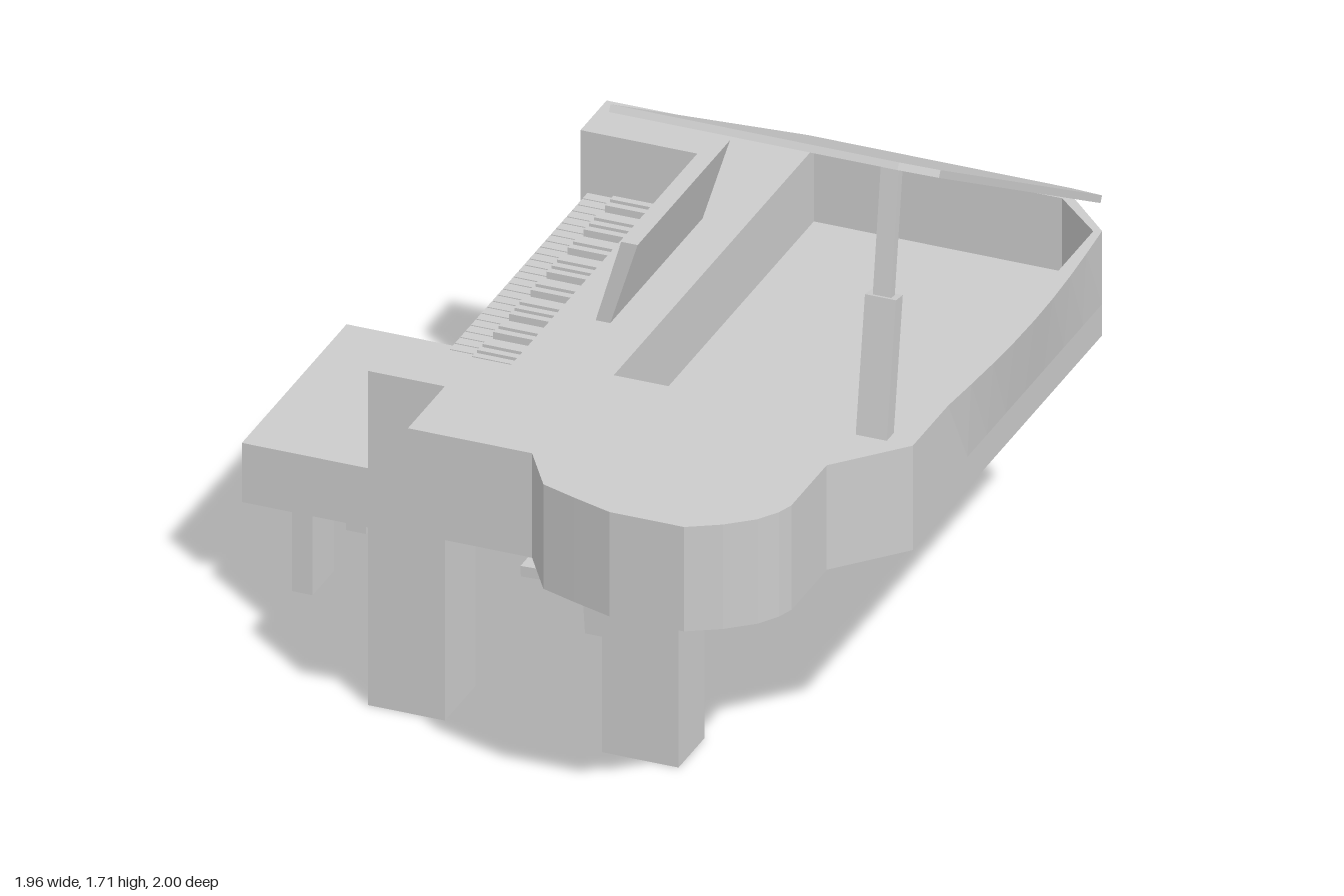
import * as THREE from 'three';

const material = new THREE.MeshStandardMaterial({ color: 0xcccccc, flatShading: true });

function add(parent, name, geometry) {
  const mesh = new THREE.Mesh(geometry, material);
  mesh.name = name;
  parent.add(mesh);
  return mesh;
}

// box given by its lower and upper corners
function box(parent, name, x0, x1, y0, y1, z0, z1) {
  const mesh = add(parent, name, new THREE.BoxGeometry(x1 - x0, y1 - y0, z1 - z0));
  mesh.position.set((x0 + x1) / 2, (y0 + y1) / 2, (z0 + z1) / 2);
  return mesh;
}

const toShape = (pts) => new THREE.Shape(pts.map(([a, b]) => new THREE.Vector2(a, b)));

// plan outline in [x, z], raised from y0 to y1
function slab(outline, y0, y1, hole) {
  const flip = (pts) => pts.map(([x, z]) => [x, -z]);
  const shape = toShape(flip(outline));
  if (hole) shape.holes.push(toShape(flip(hole)));
  return new THREE.ExtrudeGeometry(shape, { depth: y1 - y0, bevelEnabled: false })
    .rotateX(-Math.PI / 2).translate(0, y0, 0);
}

// side profile in [x, y], running from z0 to z1
function profile(parent, name, pts, z0, z1) {
  const geometry = new THREE.ExtrudeGeometry(toShape(pts), { depth: z1 - z0, bevelEnabled: false });
  return add(parent, name, geometry.translate(0, 0, z0));
}

// square bar between two points
function bar(parent, name, a, b, width, depth) {
  const from = new THREE.Vector3(...a), to = new THREE.Vector3(...b);
  const mesh = add(parent, name, new THREE.BoxGeometry(width, from.distanceTo(to), depth));
  mesh.position.copy(from).lerp(to, 0.5);
  mesh.quaternion.setFromUnitVectors(new THREE.Vector3(0, 1, 0), to.sub(from).normalize());
  return mesh;
}

export function createModel() {
  const piano = new THREE.Group();
  piano.name = 'grandPiano';

  // case: solid floor, then a rim with the string cavity and keyboard notch
  const side = [];
  for (let i = 0; i <= 8; i++) side.push([0.95, -0.85 + i * 0.125]);
  const outline = [
    [-0.47, -1], [0.8, -1], ...side, [0.95, 0.38], [0.79, 0.56], [0.79, 0.79],
    [0.775, 0.835], [0.74, 0.89], [0.67, 0.95], [0.585, 1], [0.38, 1], [0.27, 0.965], [0.17, 0.93],
    [0.08, 0.79], [-0.26, 0.79], [-0.26, 0.55], [-0.47, 0.55],
  ];
  const notch = [[-0.47, 0.38], [-0.15, 0.38], [-0.15, -0.83], [-0.47, -0.83]];
  const cavity = [[0.11, 0.33], [0.93, 0.33], [0.93, -0.84], [0.79, -0.97], [0.11, -0.97]];
  add(piano, 'caseFloor', slab(outline, 0.66, 0.75));
  const rim = slab([...outline, ...notch], 0.75, 0.96, cavity);
  const p = rim.attributes.position;
  for (let i = 0; i < p.count; i++) { // side swells outwards towards the top
    const t = (p.getZ(i) + 0.85) / 1;
    if (p.getX(i) > 0.945 && p.getY(i) > 0.9 && t > 0 && t < 1) {
      p.setX(i, 0.95 + 0.026 * Math.sin(Math.PI * t));
    }
  }
  add(piano, 'caseRim', rim);
  box(piano, 'underframe', -0.47, 0.38, 0.56, 0.66, -1, 0.55);

  // legs
  for (const [name, edge, dir] of [['Front', 0.55, -1], ['Back', -1, 1]]) {
    const inner = edge + dir * 0.2;
    box(piano, 'keyboardLeg' + name, -0.47, -0.26, 0, 0.56, Math.min(edge, inner), Math.max(edge, inner));
    add(piano, 'tailLeg' + name, slab(
      [[0.17, edge], [0.38, edge], [0.38, edge + dir * 0.17], [0.17, inner]], 0, 0.56));
  }

  // keyboard
  const keys = new THREE.Group();
  keys.name = 'keyboard';
  piano.add(keys);
  const count = 35, pitch = 1.21 / count;
  for (let i = 0; i < count; i++) {
    const z = -0.83 + i * pitch;
    box(keys, 'naturalKey', -0.45, -0.24, 0.75, 0.785, z + 0.002, z + pitch - 0.002);
    if (![2, 6].includes(i % 7) && i < count - 1) {
      box(keys, 'sharpKey', -0.37, -0.24, 0.78, 0.805, z + pitch - 0.01, z + pitch + 0.01);
    }
  }
  profile(piano, 'fallboard', [[-0.25, 0.75], [-0.15, 0.75], [-0.15, 0.96], [-0.25, 0.79]], -0.83, 0.38);

  // music desk
  profile(piano, 'musicDesk', [[-0.045, 0.96], [-0.005, 0.96], [0.07, 1.2], [0.025, 1.2]], -0.52, 0.08);

  // raised lid, hinged along the back edge
  const angle = Math.atan2(0.73, 1.28), cos = Math.cos(angle);
  const lidShape = toShape([[0.08, 0], [0.8, 0], [0.95, 0.15 / cos], [0.95, 1.2 / cos],
    [0.87, 1.28 / cos], [0.08, 1.28 / cos]]);
  const lid = add(piano, 'lid', new THREE.ExtrudeGeometry(lidShape, { depth: 0.02, bevelEnabled: false }));
  lid.rotation.x = Math.PI / 2 - angle;
  lid.position.set(0, 0.977, -1);

  // two-stage lid prop
  bar(piano, 'propLower', [0.837, 0.955, 0.36], [0.837, 1.33, 0.3], 0.085, 0.045);
  bar(piano, 'propUpper', [0.837, 1.32, 0.302], [0.837, 1.675, 0.248], 0.05, 0.025);

  // pedal lyre
  const lyre = new THREE.Group();
  lyre.name = 'pedalLyre';
  piano.add(lyre);
  profile(lyre, 'pedalBox', [[-0.07, 0.06], [0.078, 0.06], [0.087, 0.225], [-0.08, 0.225]], -0.52, 0.09);
  box(lyre, 'lyrePost', -0.05, 0.05, 0.22, 0.56, -0.07, 0.07);
  box(lyre, 'lyrePost', -0.05, 0.05, 0.22, 0.56, -0.5, -0.36);
  for (const z of [-0.32, -0.215, -0.11]) {
    bar(lyre, 'pedal', [-0.32, 0.098, z], [-0.06, 0.108, z], 0.03, 0.05);
  }

  // bench
  const bench = new THREE.Group();
  bench.name = 'bench';
  piano.add(bench);
  box(bench, 'seat', -0.98, -0.47, 0.28, 0.45, -0.52, 0.16);
  for (const x of [-0.853, -0.6]) {
    for (const z of [0, -0.35]) {
      box(bench, 'benchLeg', x - 0.028, x + 0.028, 0, 0.285, z - 0.07, z + 0.07);
    }
  }
  return piano;
}
